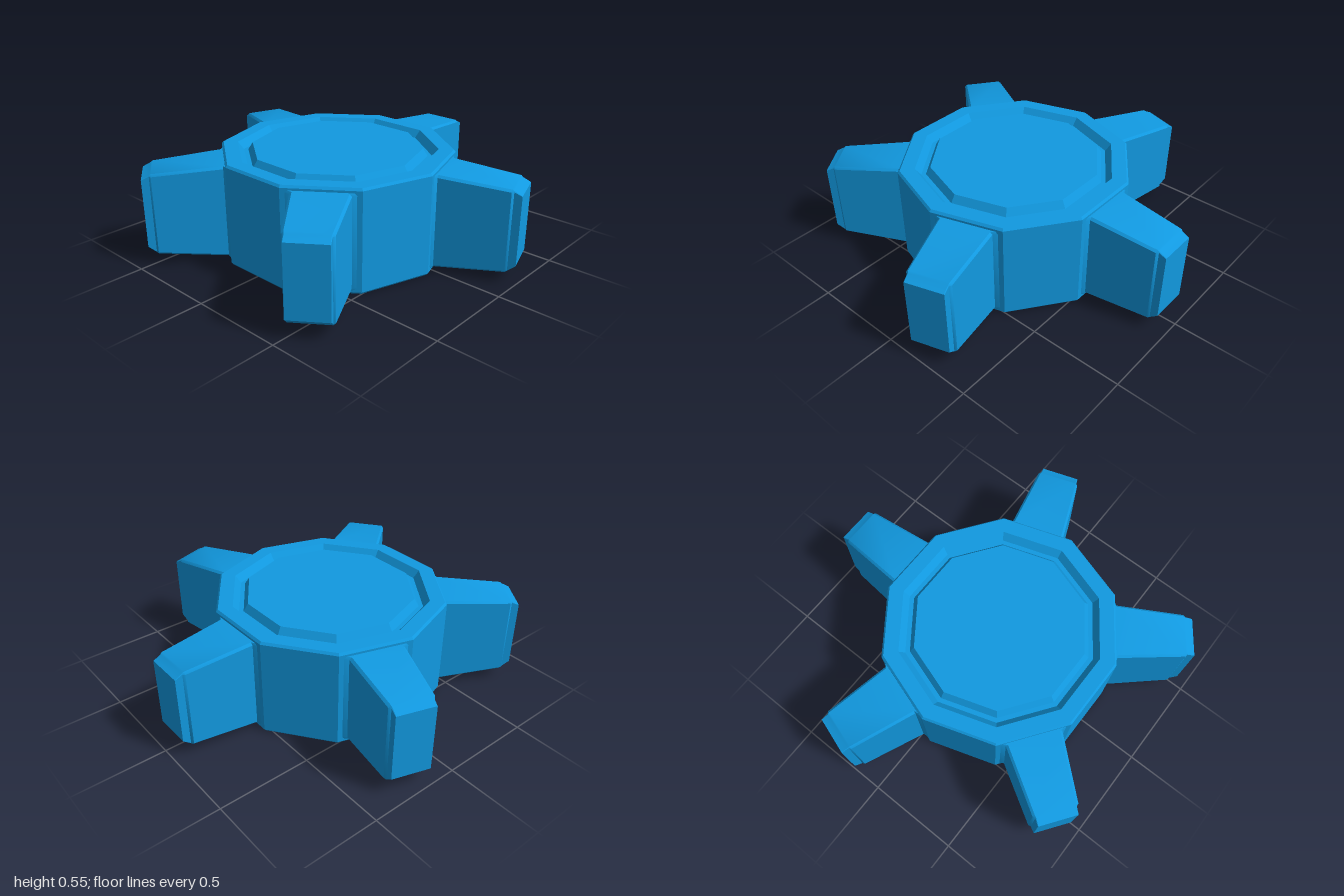
import * as THREE from 'three';
import { toCreasedNormals } from 'three/addons/utils/BufferGeometryUtils.js';

const SIDES = 10, APOTHEM = Math.cos(Math.PI / SIDES);

// Ten-sided solid from [distance to flat side, height] points, bottom to top
function decagon(profile) {
  const points = profile.map(([a, y]) => new THREE.Vector2(a / APOTHEM, y));
  return toCreasedNormals(new THREE.LatheGeometry(points, SIDES, Math.PI / SIDES), 0.3);
}

// Loft chamfered rectangles [z, half width, bottom, top, chamfer] along +z, closing the outer end
function loft(sections) {
  const positions = [], index = [], n = 8;
  for (const [z, w, b, t, c] of sections) {
    for (const [x, y] of [[w, b + c], [w, t - c], [w - c, t], [c - w, t],
      [-w, t - c], [-w, b + c], [c - w, b], [w - c, b]]) positions.push(x, y, z);
  }
  for (let s = 0; s < sections.length - 1; s++) {
    for (let i = 0; i < n; i++) {
      const a = s * n + i, b = s * n + (i + 1) % n;
      index.push(a, b, b + n, a, b + n, a + n);
    }
  }
  const end = (sections.length - 1) * n;
  for (let i = 1; i < n - 1; i++) index.push(end, end + i, end + i + 1);
  const geometry = new THREE.BufferGeometry();
  geometry.setAttribute('position', new THREE.Float32BufferAttribute(positions, 3));
  geometry.setIndex(index);
  return toCreasedNormals(geometry, 0.6);
}

export function createModel() {
  const model = new THREE.Group();
  model.name = 'fiveArmedHub';
  const material = new THREE.MeshStandardMaterial({ color: 0x1199e0 });
  const add = (geometry, name) => {
    const mesh = new THREE.Mesh(geometry, material);
    mesh.name = name;
    model.add(mesh);
    return mesh;
  };

  // Hub with a softened rim and a groove cut into its top
  add(decagon([
    [0, 0], [0.585, 0], [0.595, 0.012], [0.595, 0.538], [0.585, 0.55],
    [0.51, 0.55], [0.48, 0.51], [0.457, 0.51], [0.433, 0.55], [0, 0.55],
  ]), 'hub');

  // Arms flare into the hub, taper outwards and end in a bevelled pad
  const armGeometry = loft([
    [0.55, 0.19, 0.022, 0.528, 0.012],
    [0.585, 0.19, 0.022, 0.528, 0.012],
    [0.605, 0.145, 0.026, 0.525, 0.012],
    [0.96, 0.115, 0.058, 0.498, 0.012],
    [0.97, 0.104, 0.066, 0.49, 0.004],
    [1.01, 0.102, 0.1, 0.47, 0.002],
  ]);
  for (let i = 0; i < 5; i++) {
    add(armGeometry, 'arm' + (i + 1)).rotation.y = Math.PI + i * Math.PI * 2 / 5;
  }

  // Balance the uneven reach of the arms front to back
  model.children.forEach((part) => { part.position.z = 0.062; });
  return model;
}
